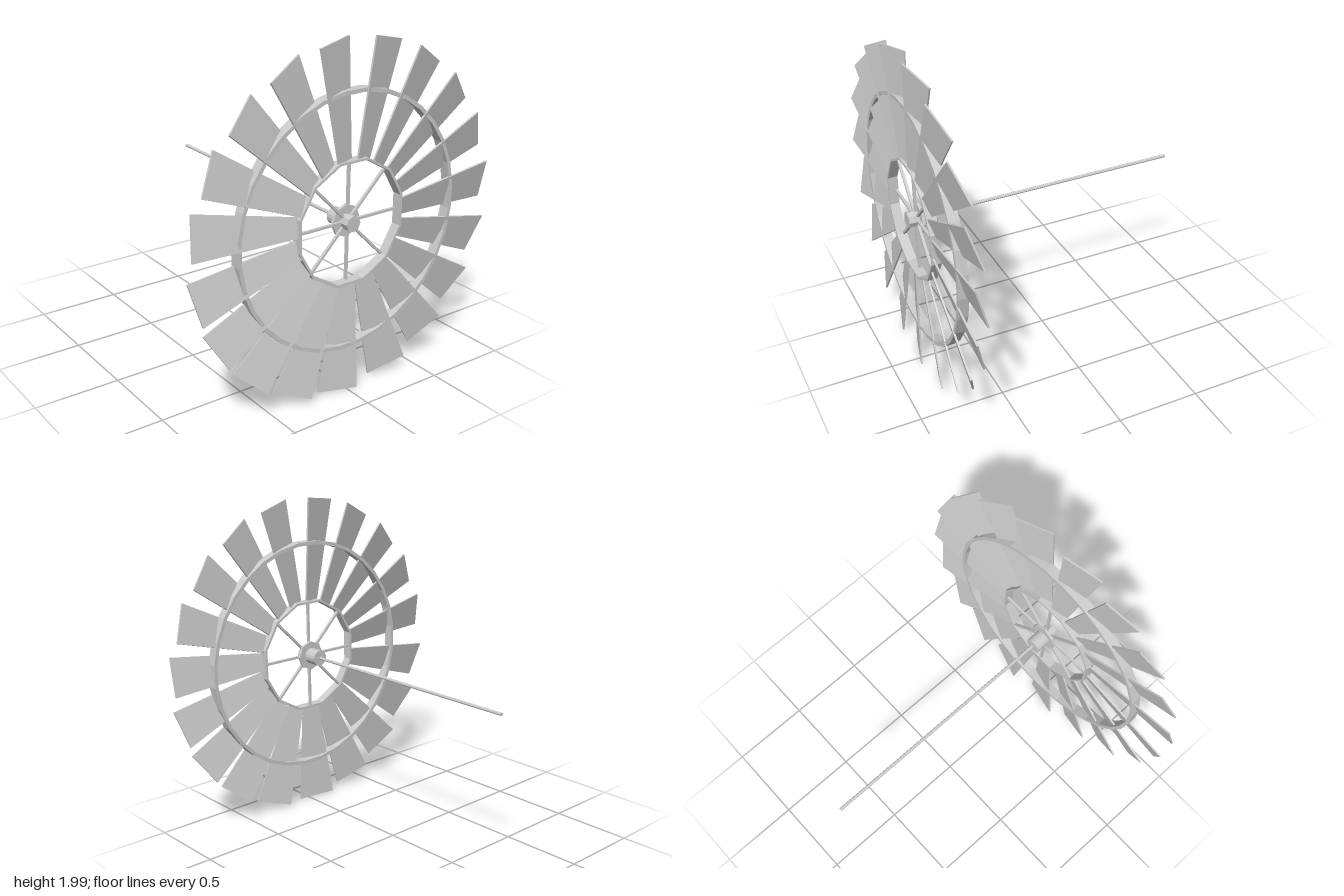
import * as THREE from 'three';

const material = new THREE.MeshStandardMaterial({ color: 0xcccccc, flatShading: true, side: THREE.DoubleSide });
const WHEEL_Z = 0.803;
const AXIS_Y = 1.005;

function add(parent, name, geometry) {
  const mesh = new THREE.Mesh(geometry, material);
  mesh.name = name;
  parent.add(mesh);
  return mesh;
}

// Closed cylinder along z between two depths
function rod(radius, z0, z1, sides) {
  return new THREE.CylinderGeometry(radius, radius, z1 - z0, sides)
    .rotateX(Math.PI / 2)
    .translate(0, 0, (z0 + z1) / 2);
}

// Flat-sided hoop with a rectangular section
function hoop(inner, outer, z0, z1, sides) {
  const section = [[inner, z0], [outer, z0], [outer, z1], [inner, z1], [inner, z0]]
    .map(([r, z]) => new THREE.Vector2(r, z));
  return new THREE.LatheGeometry(section, sides)
    .rotateX(Math.PI / 2)
    .scale(1, 1, 1)
    .rotateZ(Math.PI / sides);
}

// Tapered sheet running outward along x
function bladeGeometry() {
  const shape = new THREE.Shape([
    new THREE.Vector2(0.35, -0.055),
    new THREE.Vector2(0.99, -0.119),
    new THREE.Vector2(0.99, 0.119),
    new THREE.Vector2(0.35, 0.055),
  ]);
  return new THREE.ExtrudeGeometry(shape, { depth: 0.01, bevelEnabled: false })
    .translate(0, 0, -0.005)
    .rotateX(0.25);
}

export function createModel() {
  const model = new THREE.Group();
  model.name = 'windWheel';
  const wheel = new THREE.Group();
  wheel.name = 'wheel';
  wheel.position.y = AXIS_Y;
  model.add(wheel);

  // Nineteen pitched blades: three quadrants of five and one of four
  const blade = bladeGeometry();
  [5, 5, 5, 4].forEach((count, quadrant) => {
    for (let i = 0; i < count; i++) {
      const mesh = add(wheel, 'blade', blade);
      mesh.position.z = WHEEL_Z;
      mesh.rotation.z = THREE.MathUtils.degToRad(2.6 + quadrant * 95 + i * 18.55);
    }
  });

  // Hoops that carry the blades
  add(wheel, 'outerRing', hoop(0.708, 0.73, 0.765, 0.826, 32));
  add(wheel, 'innerRing', hoop(0.347, 0.361, 0.768, 0.826, 12));

  // Spokes from hub to inner hoop
  const spoke = new THREE.BoxGeometry(0.33, 0.014, 0.016).translate(0.18, 0, 0.782);
  for (let i = 0; i < 8; i++) add(wheel, 'spoke', spoke).rotation.z = i * Math.PI / 4;

  // Hub plate, nose, rear collar and long drive shaft
  add(wheel, 'hubPlate', rod(0.093, 0.758, 0.774, 8));
  add(wheel, 'hubNose', rod(0.046, 0.76, 0.836, 8));
  add(wheel, 'hubCollar', rod(0.049, 0.67, 0.76, 16));
  add(wheel, 'driveShaft', rod(0.01, -0.84, 0.68, 8));

  return model;
}
